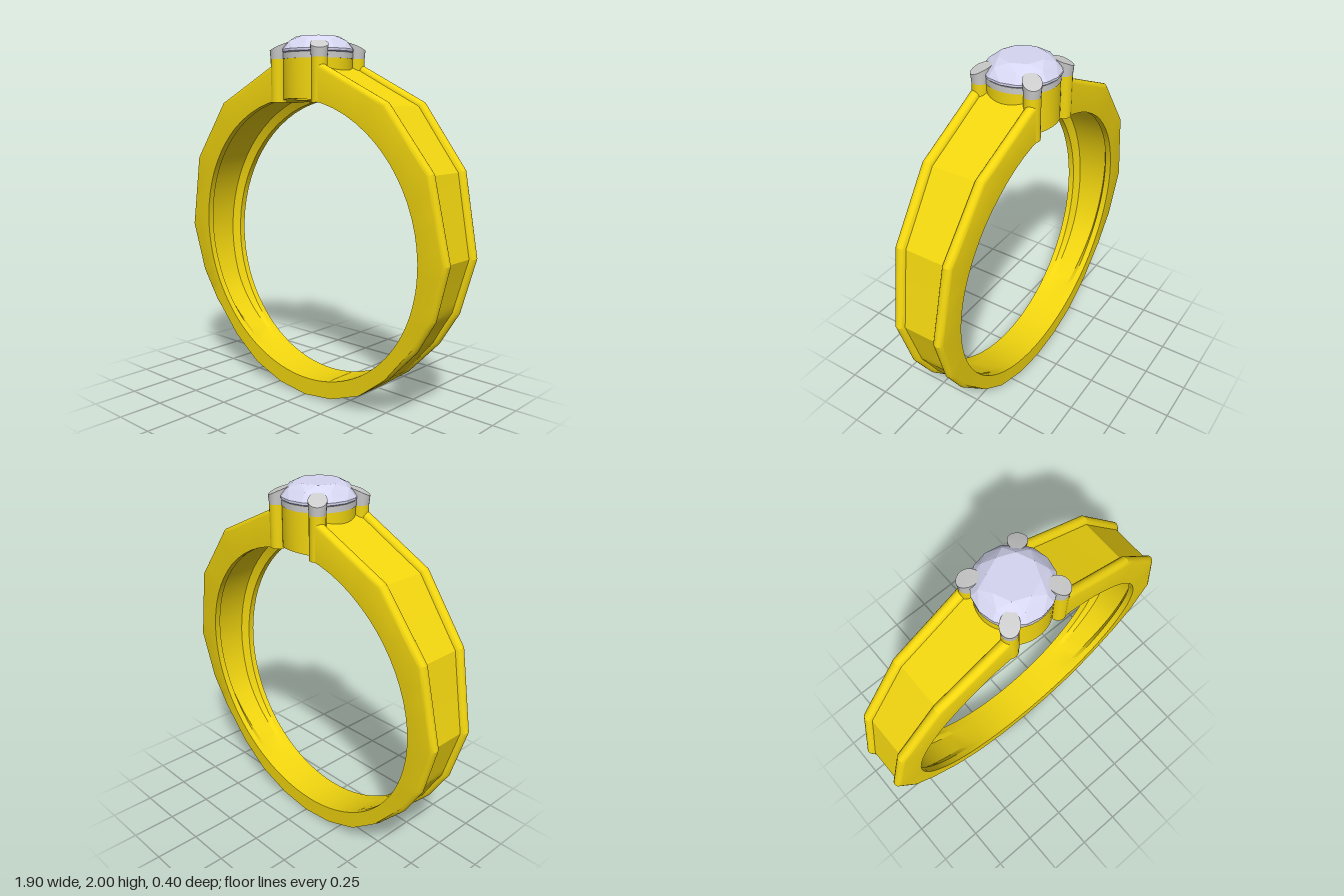
import * as THREE from 'three';
import { toCreasedNormals } from 'three/addons/utils/BufferGeometryUtils.js';
import { ConvexGeometry } from 'three/addons/geometries/ConvexGeometry.js';

const gold = new THREE.MeshStandardMaterial({ color: 0xf2d60f });
const grey = new THREE.MeshStandardMaterial({ color: 0xcccccc });
const crystal = new THREE.MeshStandardMaterial({ color: 0xd6d6f2, flatShading: true });

const CY = 0.885, R = 0.785; // finger hole centre and radius

function add(parent, name, geometry, material) {
  const mesh = new THREE.Mesh(geometry, material);
  mesh.name = name;
  parent.add(mesh);
  return mesh;
}

// Right half of the outer outline, from the setting down to the bottom
const outline = [[0.16, 1.858], [0.6, 1.65], [0.86, 1.32], [0.95, 0.89], [0.87, 0.6],
  [0.76, 0.42], [0.58, 0.23], [0.4, 0.1], [0.2, 0.025], [0, 0]];

// Band cross-section at an outline point: two rounded rails beside a recessed strip
function section(x, y) {
  const r = Math.hypot(x, y - CY), dx = x / r, dy = (y - CY) / r;
  const w = 0.108 + 0.043 * y, rail = 0.028;
  const fade = THREE.MathUtils.smoothstep(y, 0.05, 0.55);
  const floor = r - 0.025 * fade, groove = R + 0.045 * fade;
  const half = [];
  for (let i = 0; i <= 10; i++) {
    const a = Math.PI * i / 10;
    half.push([w - rail + rail * Math.cos(a), Math.max(floor, r - rail + rail * Math.sin(a))]);
  }
  const inner = [[w - 0.06, groove], [w - 0.035, R], [w, R]];
  const flip = list => list.map(([z, q]) => [-z, q]).reverse();
  return [...half, ...flip(half), ...flip(inner), ...inner]
    .map(([z, q]) => [dx * q, CY + dy * q, z]);
}

function bandGeometry() {
  const full = [...outline, ...outline.slice(0, -1).reverse().map(([x, y]) => [-x, y])];
  const rings = [], steps = 5;
  for (let i = 0; i < full.length - 1; i++) {
    for (let s = 0; s < steps; s++) {
      const t = s / steps;
      rings.push(section(THREE.MathUtils.lerp(full[i][0], full[i + 1][0], t),
        THREE.MathUtils.lerp(full[i][1], full[i + 1][1], t)));
    }
  }
  rings.push(section(...full[full.length - 1]));
  const n = rings[0].length, index = [];
  for (let j = 0; j < rings.length - 1; j++) {
    for (let k = 0; k < n; k++) {
      const a = j * n + k, b = j * n + (k + 1) % n, c = a + n, d = b + n;
      index.push(a, c, b, b, c, d);
    }
  }
  const g = new THREE.BufferGeometry();
  g.setAttribute('position', new THREE.Float32BufferAttribute(rings.flat(2), 3));
  g.setIndex(index);
  return toCreasedNormals(g, 0.36);
}

// Hollow ring turned from a rectangular profile
function collar(ri, ro, y0, y1) {
  const p = [[ri, y0], [ro, y0], [ro, y1], [ri, y1], [ri, y0]];
  return new THREE.LatheGeometry(p.map(q => new THREE.Vector2(...q)), 48);
}

function stoneGeometry() {
  const points = [new THREE.Vector3(0, 1.76, 0)];
  const ring = (n, r, y, offset) => {
    for (let i = 0; i < n; i++) {
      const a = (i + offset) * 2 * Math.PI / n;
      points.push(new THREE.Vector3(r * Math.cos(a), y, r * Math.sin(a)));
    }
  };
  ring(8, 0.12, 2, 0);
  ring(8, 0.165, 1.974, 0.5);
  ring(16, 0.2, 1.93, 0);
  ring(16, 0.2, 1.918, 0);
  return new ConvexGeometry(points);
}

export function createModel() {
  const model = new THREE.Group();
  model.name = 'ring';
  add(model, 'band', bandGeometry(), gold);

  const setting = new THREE.Group();
  setting.name = 'setting';
  model.add(setting);

  // Barrel with its underside curved to the finger hole
  const barrel = collar(0.125, 0.19, 1.66, 1.88);
  const bp = barrel.attributes.position;
  for (let i = 0; i < bp.count; i++) {
    if (bp.getY(i) < 1.7) bp.setY(i, CY + Math.sqrt(R * R - bp.getX(i) ** 2));
  }
  add(setting, 'barrel', toCreasedNormals(barrel, 0.6), gold);
  add(setting, 'stoneSeat', toCreasedNormals(collar(0.125, 0.193, 1.88, 1.912), 0.6), grey);

  // Prong tips flare and slope up towards the stone
  const tip = new THREE.CylinderGeometry(0.048, 0.043, 0.07, 20);
  const tp = tip.attributes.position;
  for (let i = 0; i < tp.count; i++) {
    if (tp.getY(i) < 0) continue;
    const x = tp.getX(i);
    tp.setY(i, tp.getY(i) - 0.5 * x);
    if (x < 0) tp.setX(i, x * 1.35);
  }
  const tipGeometry = toCreasedNormals(tip, 0.6);
  const stem = new THREE.CylinderGeometry(0.043, 0.043, 0.23, 20);
  for (let i = 0; i < 4; i++) {
    const a = Math.PI / 4 + i * Math.PI / 2;
    const prong = new THREE.Group();
    prong.name = 'prong';
    prong.position.set(0.212 * Math.cos(a), 0, 0.212 * Math.sin(a));
    prong.rotation.y = -a;
    add(prong, 'prongStem', stem, gold).position.y = 1.765;
    add(prong, 'prongTip', tipGeometry, grey).position.y = 1.915;
    setting.add(prong);
  }

  add(model, 'stone', stoneGeometry(), crystal);
  return model;
}
